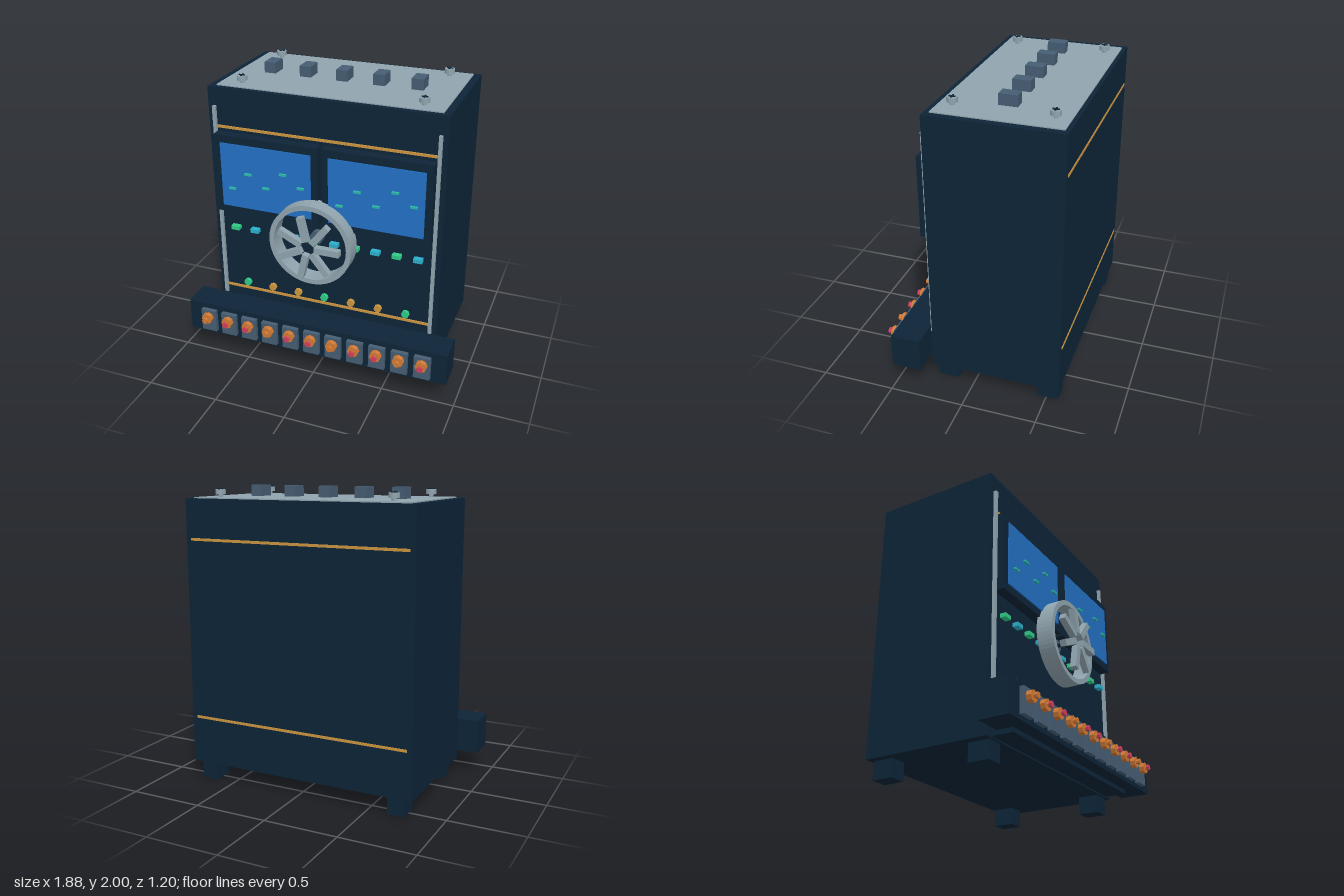
import * as THREE from 'three';

const paint = (name, color) => {
  const m = new THREE.MeshStandardMaterial({ color });
  m.name = name;
  return m;
};

export function createModel() {
  const navy = paint('navy', 0x0d2437), grey = paint('pale grey', 0x90a4ae);
  const slate = paint('slate', 0x465d73), amber = paint('amber', 0xcc9540);
  const orange = paint('orange', 0xd27a35), red = paint('rose red', 0xd23f5c);
  const green = paint('green', 0x2ecc85), cyan = paint('cyan', 0x2ab0cc);
  const blue = paint('screen blue', 0x2270c4), teal = paint('teal', 0x2bb8aa);

  const model = new THREE.Group();
  model.name = 'controlCabinet';

  const add = (name, geo, mat, x = 0, y = 0, z = 0, parent = model) => {
    const mesh = new THREE.Mesh(geo, mat);
    mesh.name = name;
    mesh.position.set(x, y, z);
    parent.add(mesh);
    return mesh;
  };
  // Box given by its extents on each axis
  const box = (name, mat, [x0, x1], [y0, y1], [z0, z1], parent) =>
    add(name, new THREE.BoxGeometry(x1 - x0, y1 - y0, z1 - z0), mat,
      (x0 + x1) / 2, (y0 + y1) / 2, (z0 + z1) / 2, parent);
  // Faceted cylinder pointing to the front, from z0 to z1
  const peg = (name, mat, x, y, r, z0, z1, sides = 8, parent) => {
    const geo = new THREE.CylinderGeometry(r, r, z1 - z0, sides).rotateX(Math.PI / 2).toNonIndexed();
    geo.computeVertexNormals();
    return add(name, geo, mat, x, y, (z0 + z1) / 2, parent);
  };

  // Cabinet and feet
  box('cabinet', navy, [-0.805, 0.805], [0.12, 1.92], [-0.598, 0.275]);
  box('topPlate', grey, [-0.757, 0.757], [1.919, 1.927], [-0.57, 0.24]);
  for (const s of [-1, 1]) {
    for (const z of [0.187, -0.507]) {
      box('foot', navy, [s * 0.693 - 0.057, s * 0.693 + 0.057], [0, 0.12], [z - 0.072, z + 0.072]);
    }
    box('frontRail', grey, [s * 0.759 - 0.011, s * 0.759 + 0.011], [0.36, 1.795], [0.275, 0.297]);
  }

  // Trim stripes, front and back
  for (const y of [1.655, 0.442]) {
    box('frontStripe', amber, [-0.75, 0.75], [y - 0.009, y + 0.009], [0.274, 0.283]);
    box('backStripe', amber, [-0.77, 0.77], [y - 0.009, y + 0.009], [-0.602, -0.597]);
  }

  // Blocks and cross-head screws on the top
  for (let i = 0; i < 5; i++) {
    const x = -0.533 + i * 0.257;
    box('topBlock', slate, [x - 0.04, x + 0.04], [1.92, 2], [-0.225, -0.104]);
  }
  for (const x of [-0.613, 0.613]) for (const z of [-0.475, 0.152]) {
    const screw = new THREE.Group();
    screw.name = 'topScrew';
    screw.position.set(x, 0, z);
    model.add(screw);
    add('screwStem', new THREE.CylinderGeometry(0.015, 0.015, 0.03, 12), grey, 0, 1.935, 0, screw);
    add('screwHead', new THREE.CylinderGeometry(0.034, 0.034, 0.032, 16), grey, 0, 1.961, 0, screw);
    box('screwSlot', navy, [-0.021, 0.021], [1.976, 1.983], [-0.005, 0.005], screw);
    box('screwSlot', navy, [-0.005, 0.005], [1.976, 1.983], [-0.021, 0.021], screw);
  }

  // Two screens with bezels and signal dashes
  const dashes = [[-0.24, 1.257], [-0.12, 1.374], [0.006, 1.294], [0.13, 1.411], [0.252, 1.333]];
  for (const c of [-0.38, 0.38]) {
    box('screenBezel', navy, [c - 0.365, c + 0.365], [1.07, 1.623], [0.27, 0.345]);
    box('screen', blue, [c - 0.32, c + 0.32], [1.12, 1.57], [0.344, 0.353]);
    for (const [dx, y] of dashes) {
      box('signalDash', teal, [c + dx - 0.024, c + dx + 0.024], [y - 0.007, y + 0.007], [0.352, 0.368]);
    }
  }

  // Indicator lamps
  for (let i = 0; i < 10; i++) {
    const x = -0.645 + i * 0.145;
    box('indicatorLamp', i % 2 ? cyan : green, [x - 0.03, x + 0.03], [0.915, 0.943], [0.274, 0.315]);
  }

  // Small round knobs
  for (let i = 0; i < 7; i++) {
    const x = -0.565 + i * 0.1935;
    peg('knobStem', navy, x, 0.515, 0.01, 0.27, 0.31);
    peg('knob', i % 3 ? amber : green, x, 0.515, 0.027, 0.307, 0.33);
  }

  // Hand wheel: open rim, seven spokes and a hub
  const wheel = new THREE.Group();
  wheel.name = 'handWheel';
  wheel.position.set(-0.035, 0.975, 0);
  model.add(wheel);
  const ring = new THREE.Shape().absarc(0, 0, 0.287, 0, Math.PI * 2);
  ring.holes.push(new THREE.Path().absarc(0, 0, 0.253, 0, Math.PI * 2, true));
  add('wheelRim', new THREE.ExtrudeGeometry(ring, { depth: 0.115, bevelEnabled: false, curveSegments: 32 }),
    grey, 0, 0, 0.33, wheel);
  for (let i = 0; i < 7; i++) {
    const pivot = new THREE.Group();
    pivot.name = 'spokePivot';
    pivot.rotation.z = i * Math.PI * 2 / 7;
    wheel.add(pivot);
    box('wheelSpoke', grey, [0.05, 0.222], [-0.022, 0.022], [0.452, 0.496], pivot);
  }
  peg('wheelAxle', navy, 0, 0, 0.014, 0.27, 0.45, 10, wheel);
  peg('wheelHub', slate, 0, 0, 0.045, 0.285, 0.33, 16, wheel);

  // Front console and its mounts
  box('consoleMount', navy, [-0.75, 0.75], [0.13, 0.36], [0.27, 0.311]);
  box('consoleShelf', navy, [-0.75, 0.75], [0.13, 0.161], [0.27, 0.418]);
  box('console', navy, [-0.94, 0.94], [0.16, 0.39], [0.308, 0.508]);

  // Row of push buttons on plates
  for (let i = 0; i < 11; i++) {
    const x = -0.78 + i * 0.156;
    box('buttonPlate', slate, [x - 0.056, x + 0.056], [0.19, 0.355], [0.505, 0.538]);
    peg('buttonCollar', orange, x, 0.302, 0.039, 0.535, 0.571);
    peg('buttonStem', orange, x, 0.302, 0.014, 0.57, 0.585);
    peg('buttonTip', i % 3 ? red : orange, x, 0.302, 0.021, 0.583, 0.599);
  }

  return model;
}
